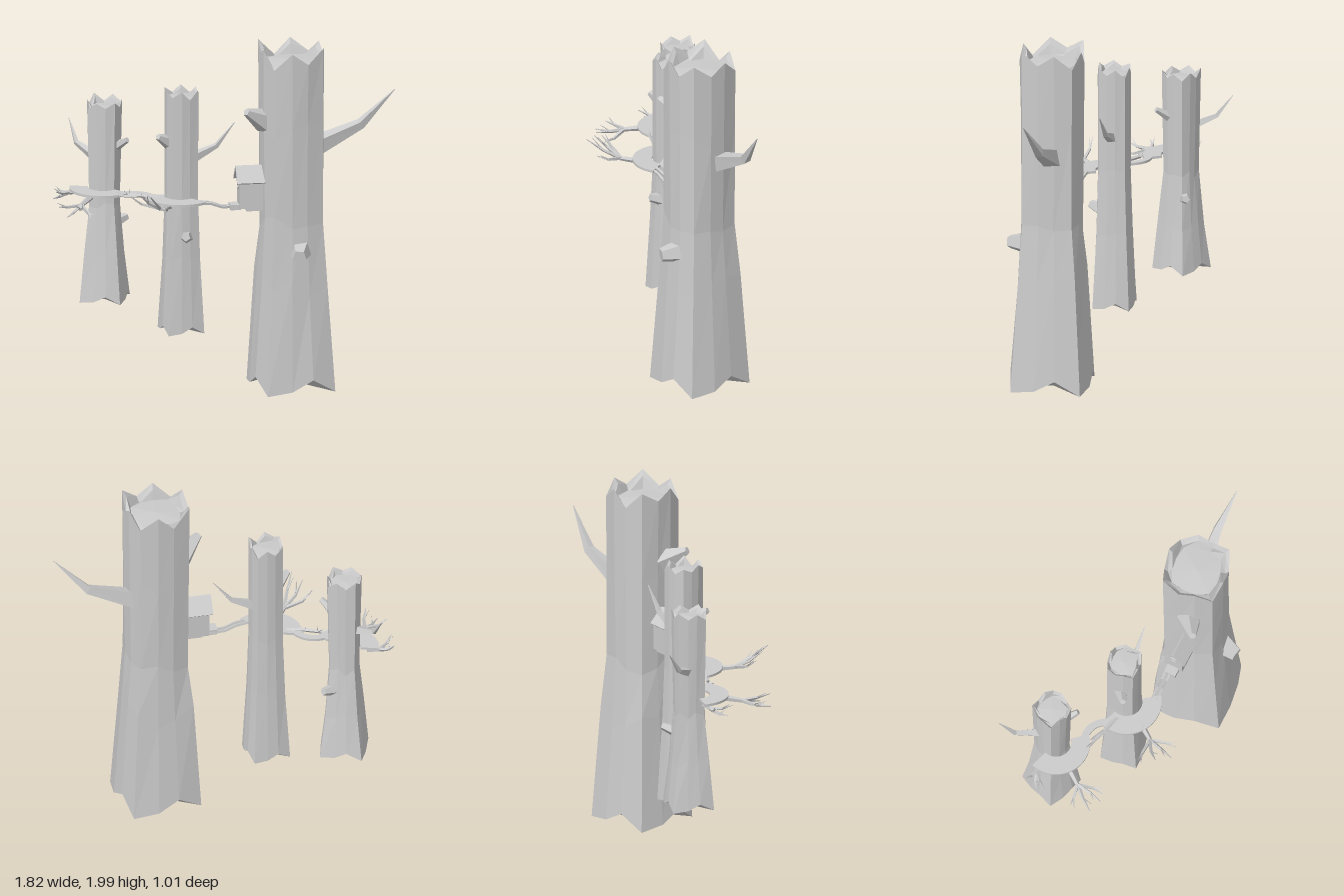
import * as THREE from 'three';

const V = (x, y, z) => new THREE.Vector3(x, y, z);
const mat = new THREE.MeshStandardMaterial({ color: 0xcccccc, flatShading: true, side: THREE.DoubleSide });

function add(parent, name, geo, x = 0, y = 0, z = 0) {
  const m = new THREE.Mesh(geo, mat);
  m.name = name;
  m.position.set(x, y, z);
  parent.add(m);
  return m;
}

function seeded(s) {
  return () => {
    s = (s * 16807) % 2147483647;
    return s / 2147483647;
  };
}

// Skin joining closed rings of points
function loft(rings) {
  const n = rings[0].length, pos = [], idx = [];
  rings.forEach(r => r.forEach(p => pos.push(p.x, p.y, p.z)));
  for (let i = 0; i < rings.length - 1; i++) {
    for (let j = 0; j < n; j++) {
      const a = i * n + j, b = i * n + (j + 1) % n, c = a + n, d = b + n;
      idx.push(a, c, b, b, c, d);
    }
  }
  const g = new THREE.BufferGeometry();
  g.setAttribute('position', new THREE.Float32BufferAttribute(pos, 3));
  g.setIndex(idx);
  g.computeVertexNormals();
  return g;
}

// Tapered angular limb through points
function limb(pts, radii, sides = 4) {
  const rings = pts.map((p, i) => {
    const dir = pts[Math.min(i + 1, pts.length - 1)].clone().sub(pts[Math.max(i - 1, 0)]).normalize();
    const q = new THREE.Quaternion().setFromUnitVectors(V(0, 1, 0), dir);
    return Array.from({ length: sides }, (_, j) => {
      const a = (j / sides) * Math.PI * 2;
      return V(Math.cos(a) * radii[i], 0, Math.sin(a) * radii[i]).applyQuaternion(q).add(p);
    });
  });
  const cap = p => Array.from({ length: sides }, () => p.clone());
  return loft([cap(pts[0]), ...rings, cap(pts[pts.length - 1])]);
}

// Broken squarish trunk, rounder toward the top: profile rows are [height, corner radius]
function trunk(profile, seed, turn) {
  const n = 12, rnd = seeded(seed), last = profile.length - 1;
  const size = profile[last][1];
  const lobes = Array.from({ length: n }, () => 0.98 + rnd() * 0.04);
  const ring = (y, r, lift, round) => Array.from({ length: n }, (_, j) => {
    const a = (j / n) * Math.PI * 2 + turn;
    const k = r * lobes[j] * (j % 3 ? round : 1) * (0.985 + rnd() * 0.03);
    return V(Math.cos(a) * k, y + lift(j), Math.sin(a) * k);
  });
  const flat = () => 0;
  const foot = profile[0], top = profile[last];
  const teeth = Array.from({ length: n }, (_, j) => (j % 2 ? -size * (0.3 + rnd() * 0.3) : -size * rnd() * 0.15));
  const rows = profile.map(([y, r], i) => {
    const round = 0.81 + 0.07 * (i / last);
    if (i === 0) return ring(y, r, j => size * [0, 0.4, 0.1][j % 3], round);
    if (i === last) return ring(y, r, j => teeth[j], round);
    return ring(y, r, () => (rnd() - 0.5) * size * 0.6, round);
  });
  return loft([
    ring(foot[0] + size * 0.25, 0, flat, 1),
    ring(foot[0] + size * 0.2, foot[1] * 0.65, flat, 0.85),
    ...rows,
    ring(top[0] - size * 0.15, top[1] * 0.88, j => teeth[j], 0.88),
    ring(top[0] - size * 0.5, top[1] * 0.75, flat, 0.88),
    ring(top[0] - size * 0.45, 0, flat, 1),
  ]);
}

// Forked twig: stem, then bent fingers
function twig(parent, name, base, fork, tips) {
  const g = new THREE.Group();
  g.name = name;
  add(g, 'twigStem', limb([base, fork], [0.02, 0.013], 5));
  tips.forEach((t, i) => {
    const mid = fork.clone().lerp(t, 0.5).add(V((t.x - fork.x) * 0.2, -0.008, 0));
    add(g, 'twigFinger', limb([fork, mid, t], [0.012, 0.009, 0.002]));
    const side = mid.clone().lerp(t, 0.7).add(V(i % 2 ? 0.025 : -0.025, 0.02, 0));
    add(g, 'twigSpur', limb([mid, side], [0.006, 0.001], 3));
  });
  parent.add(g);
}

// Flat curved walkway, angles in degrees from +x toward +z
function walkway(parent, name, x, y, z, inner, outer, from, to) {
  const a = THREE.MathUtils.degToRad(from), b = THREE.MathUtils.degToRad(to);
  const s = new THREE.Shape();
  s.absarc(0, 0, outer, a, b, false);
  s.absarc(0, 0, inner, b, a, true);
  const geo = new THREE.ExtrudeGeometry(s, { depth: 0.014, bevelEnabled: false, curveSegments: 10 });
  add(parent, name, geo.rotateX(Math.PI / 2), x, y, z);
}

export function createModel() {
  const root = new THREE.Group();
  root.name = 'treeStumpVillage';

  // Trunks
  add(root, 'largeTrunk', trunk([[0.005, 0.287], [0.63, 0.232], [0.97, 0.203], [1.5, 0.205], [2.0, 0.208]], 11, 0.1), 0.42, 0, -0.158);
  add(root, 'middleTrunk', trunk([[0.31, 0.15], [0.75, 0.122], [1.1, 0.108], [1.725, 0.108]], 23, 0.1), -0.172, 0, 0.023);
  add(root, 'smallTrunk', trunk([[0.44, 0.165], [0.72, 0.13], [1.0, 0.1], [1.615, 0.111]], 37, 0.62), -0.64, 0, 0.01);

  // Long bent branches
  [
    [V(0.5, 1.37, -0.26), V(0.73, 1.49, -0.43), V(0.905, 1.69, -0.505), 0.065],
    [V(-0.12, 1.31, -0.02), V(-0.01, 1.37, -0.1), V(0.078, 1.5, -0.155), 0.034],
    [V(-0.68, 1.25, 0.01), V(-0.84, 1.31, -0.06), V(-0.91, 1.43, -0.12), 0.034],
  ].forEach(([a, b, c, r]) => add(root, 'branch', limb([a, b, c], [r, r * 0.48, 0.002])));

  // Short broken stubs
  [
    [V(0.31, 1.56, -0.05), V(0.245, 1.64, 0.08), 0.075, 0.022],
    [V(0.52, 0.83, -0.05), V(0.555, 0.82, 0.05), 0.065, 0.04],
    [V(-0.22, 1.41, 0.07), V(-0.26, 1.46, 0.15), 0.045, 0.018],
    [V(-0.12, 0.87, 0.07), V(-0.095, 0.89, 0.14), 0.04, 0.025],
    [V(-0.58, 1.33, 0.02), V(-0.49, 1.39, 0.045), 0.032, 0.016],
    [V(-0.61, 0.87, -0.05), V(-0.565, 0.89, -0.13), 0.038, 0.022],
  ].forEach(([a, b, r, t]) => add(root, 'stub', limb([a, b], [r, t], 5)));

  // Crescent platforms and the curved link between them
  walkway(root, 'smallPlatform', -0.635, 1.1, 0.045, 0.085, 0.19, 17, 167);
  walkway(root, 'middlePlatform', -0.17, 1.1, 0.045, 0.09, 0.197, 22, 168);
  walkway(root, 'linkWalkway', -0.4, 1.1, 0.19, 0.1, 0.14, 195, 345);

  // Sagging double rail to the house
  for (const o of [-0.014, 0.014]) {
    const path = [V(-0.03, 1.095, 0.115), V(0.03, 1.085, 0.075), V(0.08, 1.062, 0.04), V(0.16, 1.062, -0.015)];
    add(root, 'bridgeRail', limb(path.map(p => p.add(V(o * 0.57, 0, o * 0.82))), [0.009, 0.009, 0.009, 0.009]));
  }

  // Twigs reaching out from the platforms
  twig(root, 'middleFrontTwig', V(-0.17, 1.08, 0.19), V(-0.18, 1.09, 0.31),
    [V(-0.31, 1.17, 0.42), V(-0.24, 1.2, 0.46), V(-0.16, 1.21, 0.5), V(-0.09, 1.14, 0.44)]);
  twig(root, 'smallFrontTwig', V(-0.65, 1.08, 0.19), V(-0.66, 1.06, 0.31),
    [V(-0.75, 1.07, 0.42), V(-0.68, 1.03, 0.47), V(-0.61, 1.08, 0.47), V(-0.56, 1.02, 0.42)]);
  twig(root, 'smallSideTwig', V(-0.75, 1.08, 0.09), V(-0.81, 1.07, 0.12),
    [V(-0.87, 1.09, 0.14), V(-0.87, 1.05, 0.21), V(-0.84, 1.1, 0.24)]);
  twig(root, 'middleSideTwig', V(-0.27, 1.085, 0.1), V(-0.37, 1.1, 0.13),
    [V(-0.5, 1.1, 0.17), V(-0.47, 1.12, 0.14)]);

  // Bird house: gabled body, two roof boards, round door, foot and landing
  const house = new THREE.Group();
  house.name = 'birdHouse';
  house.position.set(0.222, 1.06, -0.03);
  house.rotation.y = -1.03;
  const wall = new THREE.Shape([[-0.055, 0], [0.055, 0], [0.055, 0.16], [0, 0.225], [-0.055, 0.16]].map(p => new THREE.Vector2(...p)));
  add(house, 'houseBody', new THREE.ExtrudeGeometry(wall, { depth: 0.13, bevelEnabled: false }), 0, 0, -0.065);
  for (const s of [-1, 1]) {
    const board = add(house, 'roofBoard', new THREE.BoxGeometry(0.11, 0.012, 0.165), s * 0.036, 0.193, 0);
    board.rotation.z = -s * 0.87;
  }
  add(house, 'doorRing', new THREE.TorusGeometry(0.02, 0.005, 5, 10), 0, 0.13, 0.066);
  add(house, 'houseFoot', new THREE.BoxGeometry(0.07, 0.03, 0.09), 0, -0.005, -0.02);
  add(house, 'landing', new THREE.BoxGeometry(0.07, 0.03, 0.06), 0, 0.005, 0.085);
  root.add(house);

  return root;
}
